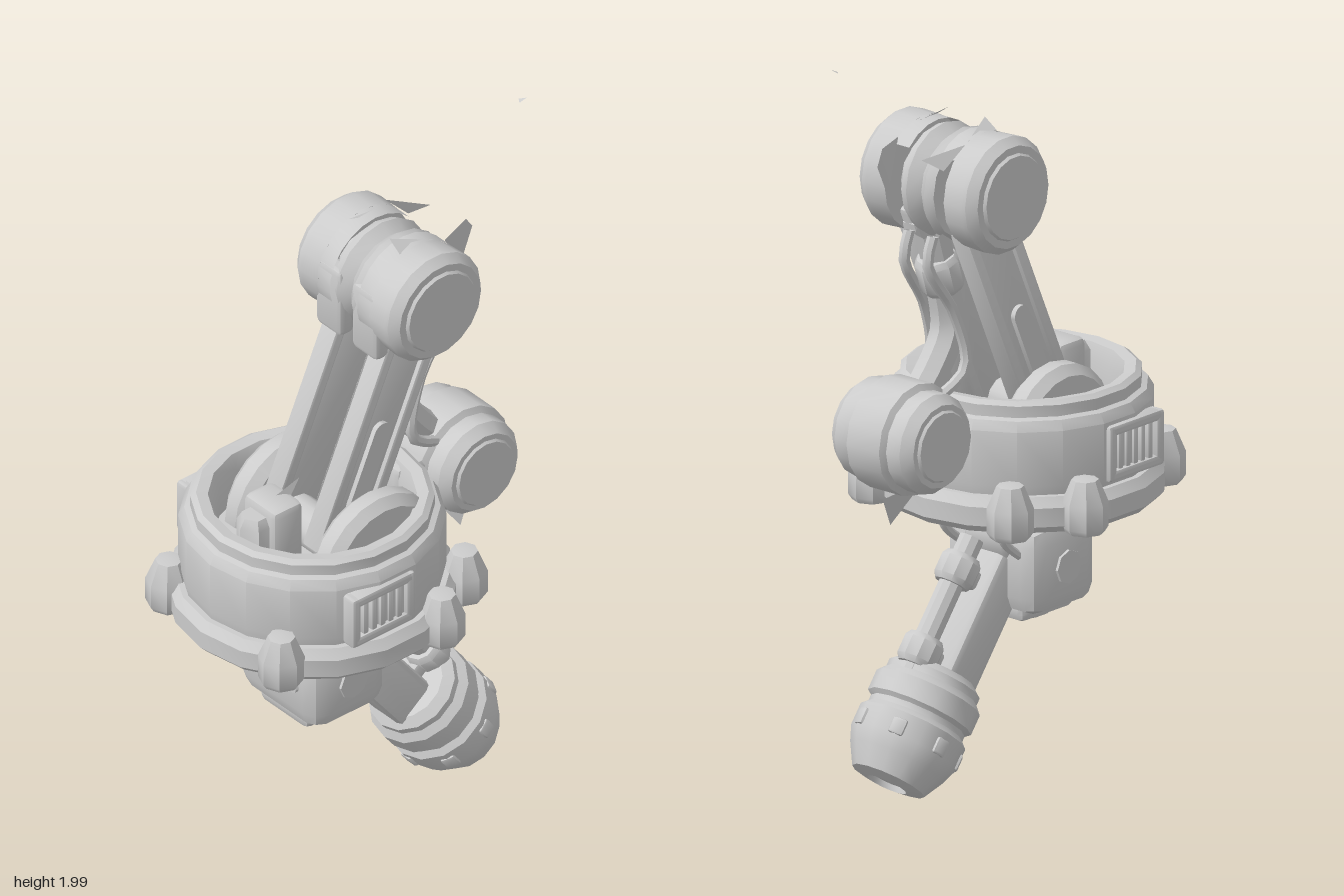
import * as THREE from 'three';
import { toCreasedNormals } from 'three/addons/utils/BufferGeometryUtils.js';
import { RoundedBoxGeometry } from 'three/addons/geometries/RoundedBoxGeometry.js';

const material = new THREE.MeshStandardMaterial({ color: 0xcccccc, side: THREE.DoubleSide });

function add(parent, name, geometry, x = 0, y = 0, z = 0) {
  const mesh = new THREE.Mesh(toCreasedNormals(geometry, 0.6), material);
  mesh.name = name;
  mesh.position.set(x, y, z);
  parent.add(mesh);
  return mesh;
}

function group(parent, name, x, y, z, tilt = 0) {
  const g = new THREE.Group();
  g.name = name;
  g.position.set(x, y, z);
  g.rotation.x = tilt;
  parent.add(g);
  return g;
}

// Profile of [radius, height] pairs, listed from the bottom upwards
const lathe = (profile, sides = 16) =>
  new THREE.LatheGeometry(profile.map(([r, y]) => new THREE.Vector2(r, y)), sides);
// Same profile turned so that height runs along +x
const sideLathe = (profile, sides = 16) => lathe(profile, sides).rotateZ(-Math.PI / 2);
const chamferBox = (w, h, d, r = 0.015) => new RoundedBoxGeometry(w, h, d, 1, r);
const rod = (r, h, sides = 10) => new THREE.CylinderGeometry(r, r, h, sides);
const hose = (points, r) => new THREE.TubeGeometry(
  new THREE.CatmullRomCurve3(points.map(p => new THREE.Vector3(...p))), 14, r, 7);

// Upright capsule outline for the raised arm panels
function capsule(w, h) {
  const s = new THREE.Shape();
  s.absarc(0, h / 2 - w / 2, w / 2, 0, Math.PI);
  s.absarc(0, -h / 2 + w / 2, w / 2, Math.PI, Math.PI * 2);
  s.closePath();
  return s;
}

// Thin torn plate through a few [x, y, z] corners, drawn as a fan
function shard(points) {
  const flat = [];
  for (let i = 1; i < points.length - 1; i++) flat.push(...points[0], ...points[i], ...points[i + 1]);
  const g = new THREE.BufferGeometry();
  g.setAttribute('position', new THREE.Float32BufferAttribute(flat, 3));
  g.computeVertexNormals();
  return g;
}

function buildTurret(root) {
  const g = group(root, 'turretBase', 0, 0, 0.15);
  // Flange, wall, stepped rim and sunken floor in one profile
  add(g, 'housing', lathe([[0, 0.73], [0.24, 0.73], [0.25, 0.72], [0.35, 0.72], [0.37, 0.74], [0.37, 0.79],
    [0.35, 0.815], [0.335, 0.815], [0.34, 0.84], [0.34, 0.985], [0.325, 1.01], [0.31, 1.015], [0.31, 1.045],
    [0.295, 1.055], [0.265, 1.05], [0.25, 1.01], [0.25, 0.92], [0, 0.92]], 18));
  // Feet around the flange
  for (const s of [-1, 1]) for (const [x, z] of [[0.342, -0.14], [0.235, -0.305], [0.22, 0.29]])
    add(g, 'flangeLug', lathe([[0, 0.72], [0.05, 0.72], [0.06, 0.735], [0.06, 0.8], [0.035, 0.86], [0, 0.865]], 8), s * x, 0, z);
  // Slatted vents on both sides
  for (const s of [-1, 1]) {
    const v = group(g, 'sideVent', s * 0.325, 0.9, 0.055);
    for (const k of [-1, 1]) {
      add(v, 'ventPost', chamferBox(0.045, 0.15, 0.03, 0.01), 0, 0, k * 0.09);
      add(v, 'ventRail', chamferBox(0.045, 0.03, 0.2, 0.01), 0, k * 0.06, 0);
    }
    for (let i = -2; i <= 2; i++) add(v, 'ventSlat', chamferBox(0.034, 0.1, 0.018, 0.005), 0, 0, i * 0.028);
  }
  // Front catch inside the rim
  add(g, 'frontBlock', chamferBox(0.13, 0.2, 0.1, 0.02), 0, 1.0, 0.13);
  add(g, 'frontCatch', lathe([[0, 0.92], [0.05, 0.92], [0.05, 1.05], [0.035, 1.075], [0, 1.075]], 6), 0, 0, 0.19);
  add(g, 'catchFin', shard([[-0.01, 1.04, 0.16], [0.01, 1.04, 0.11], [0.02, 1.14, 0.06], [0, 1.1, 0.12]]));
}

function buildUpperArm(root) {
  // Pivot discs half sunk into the base
  for (const s of [-1, 1])
    add(root, 'pivotDisc', sideLathe([[0, -0.045], [0.165, -0.045], [0.19, -0.02], [0.19, 0.02], [0.165, 0.045], [0, 0.045]], 20), s * 0.17, 0.92, 0.09);
  const g = group(root, 'upperArm', 0, 0.95, 0.15, -0.42);
  for (const s of [-1, 1]) {
    add(g, 'armRail', chamferBox(0.045, 0.7, 0.17), s * 0.085, 0.33, 0);
    for (const k of [-1, 1]) add(g, 'railFlange', chamferBox(0.06, 0.66, 0.035, 0.008), s * 0.09, 0.31, k * 0.07);
    const panel = new THREE.ExtrudeGeometry(capsule(0.055, 0.26), { depth: 0.018, bevelEnabled: false, curveSegments: 6 });
    panel.translate(0, 0, -0.009).rotateY(Math.PI / 2);
    add(g, 'railPanel', panel, s * 0.112, 0.22, 0);
  }
  add(g, 'lowerAxle', rod(0.06, 0.2, 12).rotateZ(Math.PI / 2));
}

function buildTopJoint(root) {
  const g = group(root, 'topJoint', 0, 1.61, -0.105);
  for (const s of [-1, 1]) {
    const drum = add(g, 'jointDrum', sideLathe([[0, 0.1], [0.152, 0.1], [0.155, 0.16], [0.155, 0.175], [0.135, 0.2],
      [0.115, 0.2], [0.11, 0.208], [0, 0.208]], 18));
    drum.rotation.y = s < 0 ? Math.PI : 0;
    // Shell segment left open along the top
    add(g, 'slottedShell', new THREE.CylinderGeometry(0.152, 0.152, 0.05, 16, 1, true, 0.75, 4.4)
      .rotateZ(-Math.PI / 2).rotateX(Math.PI), s * 0.078);
    add(g, 'frontCheek', chamferBox(0.1, 0.2, 0.05, 0.015), s * 0.07, -0.04, 0.12);
  }
  add(g, 'centreHub', sideLathe([[0, -0.055], [0.14, -0.055], [0.15, -0.03], [0.125, 0], [0.15, 0.03], [0.14, 0.055], [0, 0.055]]));
  add(g, 'hubCore', rod(0.09, 0.22, 12).rotateZ(Math.PI / 2));
  add(g, 'frontLatch', chamferBox(0.05, 0.06, 0.04, 0.015), 0.065, -0.12, 0.11);
  // Torn plating along the top and back
  add(g, 'rearTear', shard([[0.08, 0.02, -0.15], [0.1, 0.12, -0.1], [0.065, 0.12, -0.2], [0.055, 0.08, -0.23], [0.07, 0.0, -0.18]]));
  add(g, 'rearTear', shard([[-0.09, 0.08, -0.14], [-0.11, 0.14, -0.08], [-0.05, 0.11, -0.18]]));
  for (const s of [-1, 1])
    add(g, 'topTear', shard([[s * 0.1, 0.145, 0.05], [s * 0.1, 0.14, -0.06], [s * 0.06, 0.172, 0.05]]));
  add(root, 'looseFragment', shard([[0.03, 1.99, -0.51], [0.05, 2.0, -0.52], [0.045, 1.99, -0.5]]));
}

function buildElbow(root) {
  const g = group(root, 'rearElbow', 0, 0.98, -0.305);
  add(g, 'elbowDrum', sideLathe([[0, -0.145], [0.09, -0.145], [0.095, -0.138], [0.11, -0.138], [0.132, -0.11], [0.132, -0.065],
    [0.148, -0.055], [0.148, 0.055], [0.132, 0.065], [0.132, 0.11], [0.11, 0.138], [0.095, 0.138], [0.09, 0.145], [0, 0.145]], 16));
  add(g, 'elbowMount', chamferBox(0.12, 0.16, 0.2, 0.02), 0, -0.02, 0.12);
  add(g, 'elbowTear', shard([[-0.03, -0.13, 0.05], [0.01, -0.16, -0.06], [0.02, -0.24, -0.02]]));
  // Tie rod from the elbow up to the top joint
  add(root, 'tieArm', hose([[0, 1.04, -0.27], [0, 1.12, -0.19], [0, 1.22, -0.13], [0, 1.36, -0.15], [0, 1.5, -0.19]], 0.045));
  const cuff = add(root, 'tieCuff', lathe([[0, -0.05], [0.05, -0.05], [0.06, -0.035], [0.06, 0.035], [0.05, 0.05], [0, 0.05]], 10), 0, 1.38, -0.16);
  cuff.rotation.x = -0.3;
  for (const s of [-1, 1])
    add(root, 'tieHose', hose([[s * 0.05, 1.06, -0.24], [s * 0.06, 1.13, -0.13], [s * 0.05, 1.28, -0.16], [s * 0.04, 1.43, -0.25], [s * 0.04, 1.5, -0.23]], 0.015));
}

function buildLowerHead(root) {
  const g = group(root, 'lowerHead', 0, 0, 0.15);
  add(g, 'headBody', chamferBox(0.315, 0.24, 0.25, 0.05), 0, 0.55, 0);
  add(g, 'headCollar', chamferBox(0.21, 0.14, 0.2, 0.03), 0, 0.67, 0);
  add(g, 'headNeck', rod(0.09, 0.1, 12), 0, 0.7, 0);
  add(g, 'bottomPlate', chamferBox(0.19, 0.06, 0.2, 0.02), 0, 0.435, 0);
  add(g, 'bottomPin', chamferBox(0.15, 0.09, 0.07, 0.015), 0, 0.44, 0);
  for (const s of [-1, 1]) {
    add(g, 'hangerPlate', chamferBox(0.035, 0.18, 0.16, 0.01), s * 0.125, 0.66, 0);
    add(g, 'sideBoss', rod(0.045, 0.03, 8).rotateZ(Math.PI / 2), s * 0.15, 0.55, 0);
    add(g, 'frontBolt', rod(0.014, 0.02, 8).rotateX(Math.PI / 2), s * 0.08, 0.55, 0.125);
    add(g, 'frontHose', hose([[s * 0.06, 0.73, 0.19], [s * 0.06, 0.66, 0.18], [s * 0.06, 0.58, 0.11]], 0.01));
    add(g, 'rearHose', hose([[s * 0.1, 0.73, -0.2], [s * 0.1, 0.65, -0.18], [s * 0.1, 0.58, -0.1]], 0.012));
  }
}

function buildLowerArm(root) {
  const g = group(root, 'lowerArm', 0, 0.27, -0.2, 0.656);
  add(g, 'armBeam', chamferBox(0.13, 0.5, 0.13, 0.02), 0, 0.21, 0.035);
  add(g, 'armRoot', sideLathe([[0, -0.075], [0.07, -0.075], [0.085, -0.06], [0.085, 0.06], [0.07, 0.075], [0, 0.075]], 12), 0, 0.46, 0.01);
  // Ram along the back of the beam
  add(g, 'ramRod', rod(0.033, 0.4), 0, 0.19, -0.095);
  for (const y of [0.07, 0.3])
    add(g, 'ramCollar', lathe([[0, -0.04], [0.045, -0.04], [0.055, -0.025], [0.055, 0.025], [0.045, 0.04], [0, 0.04]], 10), 0, y, -0.095);
  for (const y of [0.07, 0.3]) add(g, 'ramBracket', chamferBox(0.05, 0.05, 0.08, 0.01), 0, y, -0.05);
  // Heavy ringed end piece
  add(g, 'endDrum', lathe([[0, -0.25], [0.05, -0.25], [0.055, -0.265], [0.1, -0.255], [0.13, -0.2], [0.145, -0.16], [0.145, -0.1],
    [0.13, -0.085], [0.13, -0.07], [0.143, -0.06], [0.143, -0.005], [0.125, 0.015], [0.125, 0.035], [0.1, 0.055], [0, 0.055]], 14));
  for (let i = 0; i < 7; i++) {
    const a = (i / 7) * Math.PI * 2;
    const stud = add(g, 'endStud', chamferBox(0.04, 0.045, 0.02, 0.007), Math.sin(a) * 0.138, -0.14, Math.cos(a) * 0.138);
    stud.rotation.y = a;
  }
}

export function createModel() {
  const root = new THREE.Group();
  root.name = 'mechanicalArm';
  buildTurret(root);
  buildUpperArm(root);
  buildTopJoint(root);
  buildElbow(root);
  buildLowerHead(root);
  buildLowerArm(root);
  return root;
}
